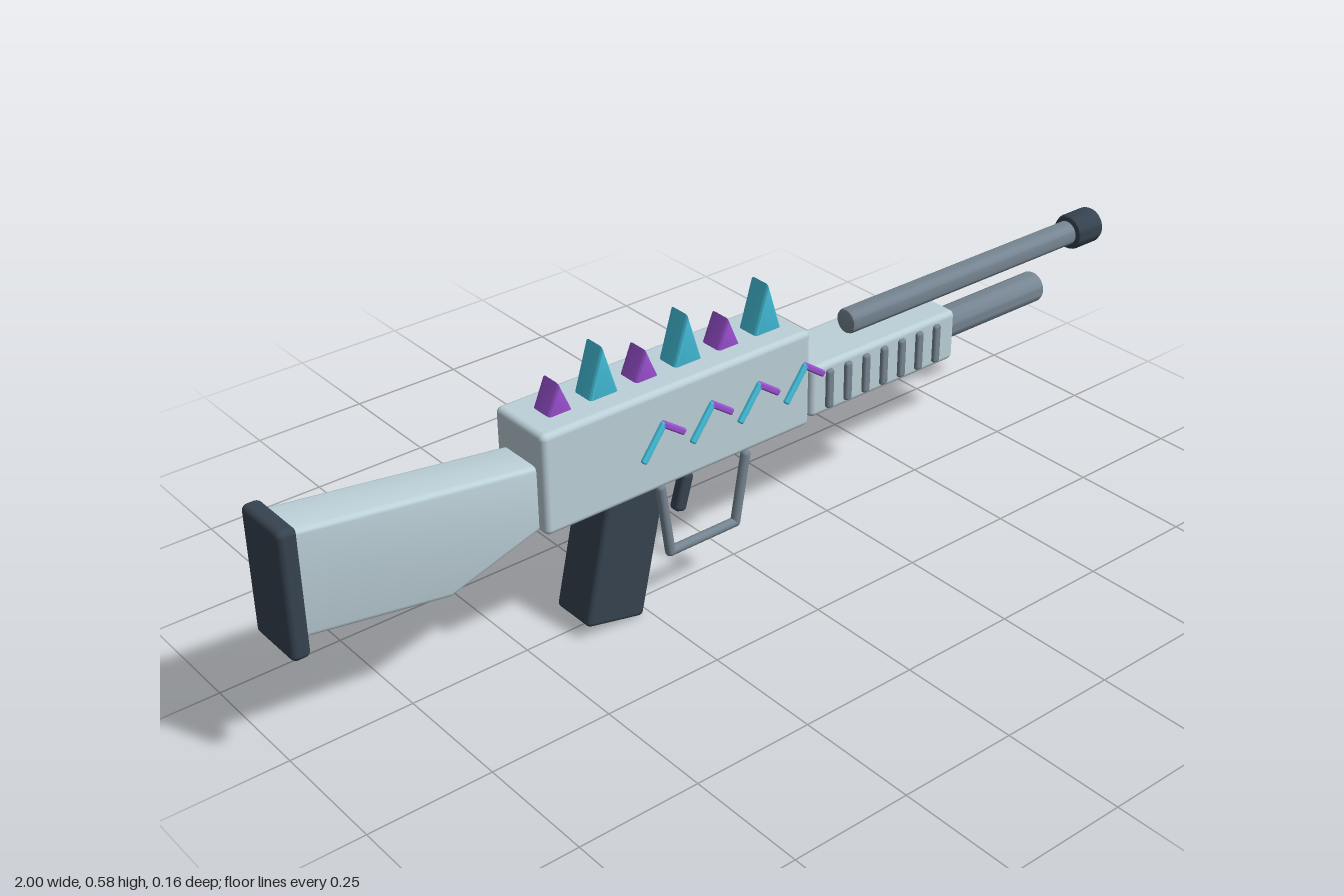
import * as THREE from 'three';
import { RoundedBoxGeometry } from 'three/addons/geometries/RoundedBoxGeometry.js';
import { toCreasedNormals } from 'three/addons/utils/BufferGeometryUtils.js';

const paint = (color) => new THREE.MeshStandardMaterial({ color });

export function createModel() {
  const model = new THREE.Group();
  const body = paint(0xbcd0d8), dark = paint(0x364350), steel = paint(0x768592);
  const cyan = paint(0x45c4e0), purple = paint(0x9a50d0);

  function add(name, geometry, material, x = 0, y = 0, z = 0, tilt = 0) {
    const mesh = new THREE.Mesh(geometry, material);
    mesh.name = name;
    mesh.position.set(x, y, z);
    mesh.rotation.z = tilt;
    model.add(mesh);
    return mesh;
  }

  const box = (w, h, d, r) => new RoundedBoxGeometry(w, h, d, 3, r);

  // Side profile extruded across z, with the bevel kept inside the given depth
  function slab(points, depth, bevel, thickness) {
    const shape = new THREE.Shape(points.map(([x, y]) => new THREE.Vector2(x, y)));
    const geometry = new THREE.ExtrudeGeometry(shape, {
      depth: depth - 2 * thickness, bevelSize: bevel, bevelOffset: -bevel,
      bevelThickness: thickness, bevelSegments: 3,
    });
    geometry.translate(0, 0, thickness - depth / 2);
    return toCreasedNormals(geometry, 0.6);
  }

  // Rod along x with softened rims
  function rod(x0, x1, radius, rim) {
    const profile = [
      [0, x0], [radius - rim, x0], [radius - rim * 0.3, x0 + rim * 0.3], [radius, x0 + rim],
      [radius, x1 - rim], [radius - rim * 0.3, x1 - rim * 0.3], [radius - rim, x1], [0, x1],
    ].map(([r, x]) => new THREE.Vector2(r, x));
    const geometry = new THREE.LatheGeometry(profile, 32);
    geometry.rotateZ(-Math.PI / 2);
    return toCreasedNormals(geometry, 0.6);
  }

  // Receiver, fore-end and stock
  add('receiver', box(0.622, 0.206, 0.146, 0.012), body, -0.181, 0.387);
  add('foreEnd', box(0.388, 0.11, 0.136, 0.012), body, 0.331, 0.346);
  add('stock', slab([
    [-0.985, 0.487], [-0.985, 0.277], [-0.68, 0.228], [-0.48, 0.29], [-0.48, 0.418],
  ], 0.1, 0.01, 0.01), body);
  add('buttPad', box(0.037, 0.255, 0.126, 0.012), dark, -0.982, 0.37);

  // Barrel, muzzle and magazine tube
  add('barrel', rod(0.285, 0.94, 0.026, 0.006), steel, 0, 0.428);
  add('muzzle', rod(0.924, 1.0, 0.038, 0.009), dark, 0, 0.428);
  add('magazineTube', rod(0.45, 0.83, 0.033, 0.006), steel, 0, 0.333);

  // Ribs on the front face of the fore-end
  for (let i = 0; i < 7; i++) {
    add('foreEndRib', box(0.018, 0.084, 0.018, 0.006), steel, 0.183 + i * 0.048, 0.345, 0.067);
  }

  // Grip and trigger
  add('grip', box(0.134, 0.3, 0.102, 0.01), dark, -0.298, 0.163, 0, -0.22);
  add('trigger', box(0.026, 0.08, 0.026, 0.008), dark, -0.142, 0.217, 0.016, -0.28);

  // Trigger guard: three straight bars joined by round corners
  const guard = [[-0.225, 0.275], [-0.205, 0.128], [-0.045, 0.128], [-0.02, 0.27]]
    .map(([x, y]) => new THREE.Vector3(x, y, 0.058));
  for (let i = 0; i < 3; i++) {
    const mid = guard[i].clone().lerp(guard[i + 1], 0.5);
    const span = guard[i + 1].clone().sub(guard[i]);
    add('triggerGuardBar', new THREE.CapsuleGeometry(0.01, span.length(), 4, 12), steel,
      mid.x, mid.y, mid.z, Math.atan2(span.y, span.x) - Math.PI / 2);
  }

  // Crest of alternating spikes
  for (let i = 0; i < 6; i++) {
    const tall = i % 2 === 1;
    const w = tall ? 0.038 : 0.034, top = tall ? 0.108 : 0.068;
    add('spike', slab([[-w, -0.01], [w, -0.01], [0, top]], 0.05, 0.006, 0.008),
      tall ? cyan : purple, -0.417 + i * 0.0963, 0.48);
  }

  // Zigzag trim on both sides of the receiver
  function trim(x0, y0, x1, y1, z, material) {
    const length = Math.hypot(x1 - x0, y1 - y0);
    add('zigzagTrim', box(length + 0.01, 0.013, 0.016, 0.004), material,
      (x0 + x1) / 2, (y0 + y1) / 2, z, Math.atan2(y1 - y0, x1 - x0));
  }
  for (const side of [1, -1]) {
    for (let i = 0; i < 4; i++) {
      const x = -0.274 + i * 0.114;
      trim(x, 0.36, x + 0.045, 0.421, side * 0.073, cyan);
      trim(x + 0.045, 0.421, x + 0.089, 0.39, side * 0.073, purple);
    }
  }

  return model;
}
